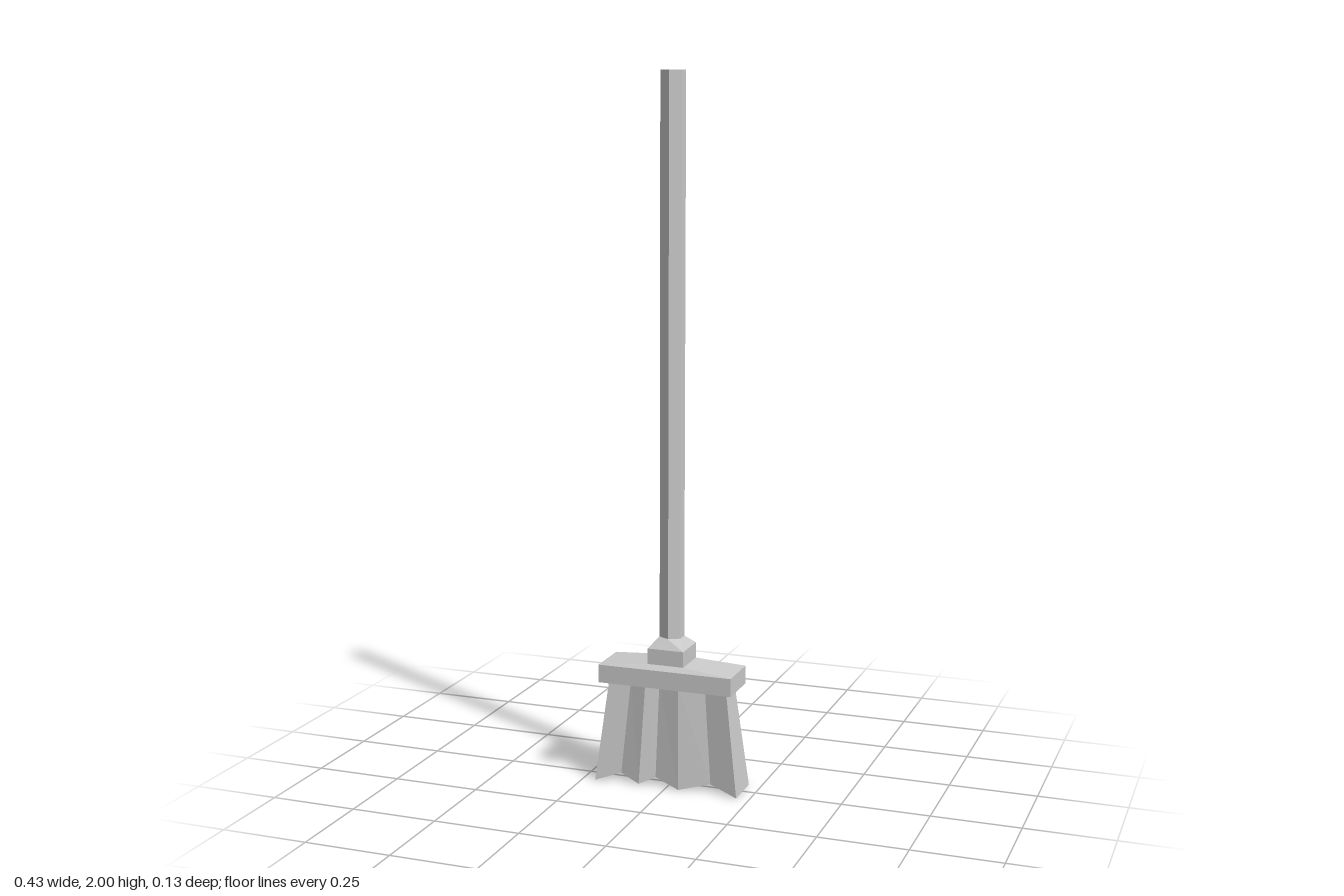
import * as THREE from 'three';
import { ConvexGeometry } from 'three/addons/geometries/ConvexGeometry.js';

const material = new THREE.MeshStandardMaterial({ color: 0xcccccc, flatShading: true });

function part(name, geometry) {
  const mesh = new THREE.Mesh(geometry, material);
  mesh.name = name;
  return mesh;
}

// Corners of a horizontal rectangle
function rect(y, hx, hz) {
  return [[-1, -1], [1, -1], [1, 1], [-1, 1]].map(([a, b]) => new THREE.Vector3(a * hx, y, b * hz));
}

// Corners of a horizontal hexagon pointing along z
function hexagon(y, r) {
  return Array.from({ length: 6 }, (_, i) => {
    const a = (i * Math.PI) / 3;
    return new THREE.Vector3(Math.sin(a) * r * 1.1, y, Math.cos(a) * r);
  });
}

// Fan of bristles: pleated front and back, jagged lower edge
function bristleGeometry() {
  // per pleat: lower x, lower y, lower half depth, upper x, upper half depth
  const pleats = [
    [-0.213, 0.0, 0.058, -0.175, 0.038],
    [-0.14, 0.024, 0.038, -0.115, 0.022],
    [-0.08, 0.004, 0.056, -0.066, 0.037],
    [-0.035, 0.024, 0.038, -0.029, 0.022],
    [0.04, 0.002, 0.057, 0.033, 0.038],
    [0.13, 0.024, 0.038, 0.107, 0.022],
    [0.213, 0.0, 0.058, 0.175, 0.038],
  ];
  const zc = 0.002;
  const positions = [];
  const indices = [];
  // ring order: upper front, lower front, lower back, upper back
  for (const [bx, by, bz, tx, tz] of pleats) {
    positions.push(tx, 0.3, zc + tz, bx, by, zc + bz, bx, by, zc - bz, tx, 0.3, zc - tz);
  }
  for (let i = 0; i < pleats.length - 1; i++) {
    for (let j = 0; j < 4; j++) {
      const a = i * 4 + j, b = i * 4 + ((j + 1) % 4);
      indices.push(a, b, b + 4, a, b + 4, a + 4);
    }
  }
  const e = (pleats.length - 1) * 4;
  indices.push(0, 2, 1, 0, 3, 2, e, e + 1, e + 2, e, e + 2, e + 3);
  const g = new THREE.BufferGeometry();
  g.setAttribute('position', new THREE.Float32BufferAttribute(positions, 3));
  g.setIndex(indices);
  const flat = g.toNonIndexed();
  flat.computeVertexNormals();
  return flat;
}

export function createModel() {
  const group = new THREE.Group();
  group.name = 'broom';

  // Six-sided handle, leaning slightly backwards
  const handle = new THREE.CylinderGeometry(0.032, 0.032, 1.58, 6);
  handle.scale(1.12, 1, 1);
  handle.translate(0, 1.21, 0);
  const p = handle.attributes.position;
  for (let i = 0; i < p.count; i++) p.setZ(i, p.getZ(i) - 0.01 * (p.getY(i) - 0.42) / 1.58);
  handle.computeVertexNormals();
  group.add(part('handle', handle));

  // Square socket tapering to the handle
  group.add(part('socket', new ConvexGeometry([
    ...rect(0.34, 0.053, 0.053), ...rect(0.405, 0.053, 0.053), ...hexagon(0.432, 0.034),
  ])));

  // Head block with a shallow pitched top
  group.add(part('headBlock', new ConvexGeometry([
    ...rect(0.295, 0.197, 0.067), ...rect(0.347, 0.197, 0.067), ...rect(0.36, 0.053, 0.053),
  ])));

  group.add(part('bristles', bristleGeometry()));
  return group;
}
